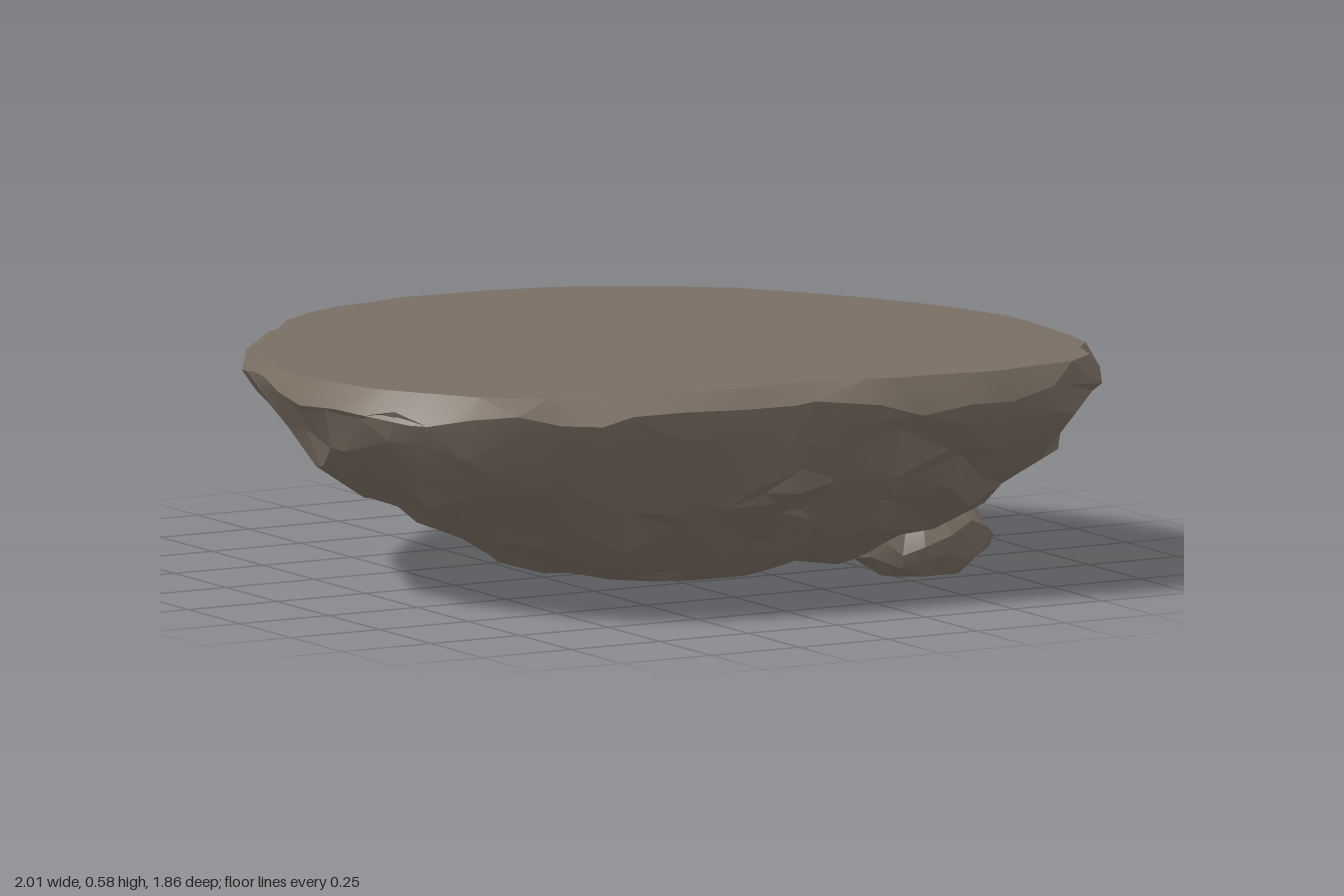
import * as THREE from 'three';
import { mergeVertices, toCreasedNormals } from 'three/addons/utils/BufferGeometryUtils.js';

// plan outline (x, z) at the widest level, from the back round by +x
const OUTLINE = [
  [0, -0.93], [0.17, -0.89], [0.35, -0.84], [0.5, -0.74], [0.65, -0.62], [0.8, -0.38],
  [0.9, -0.2], [0.97, 0], [1, 0.17], [0.98, 0.4], [0.95, 0.6], [0.89, 0.74], [0.81, 0.86],
  [0.7, 0.9], [0.5, 0.93], [0.35, 0.92], [0.05, 0.88], [-0.2, 0.88], [-0.45, 0.84],
  [-0.7, 0.77], [-0.83, 0.67], [-0.92, 0.52], [-1, 0.36], [-1, 0.04], [-0.95, -0.17],
  [-0.86, -0.4], [-0.6, -0.71], [-0.4, -0.85], [-0.15, -0.92],
];
// underside profile from the middle to the rim: scale of the outline, height
const PROFILE = [
  [0, 0.025], [0.15, 0.025], [0.31, 0.035], [0.45, 0.07], [0.58, 0.13],
  [0.7, 0.2], [0.82, 0.28], [0.91, 0.37], [0.97, 0.45], [1, 0.52],
];

const outline = new THREE.CatmullRomCurve3(
  OUTLINE.map(([x, z]) => new THREE.Vector3(x, 0, z)), true, 'centripetal');
const profile = new THREE.CatmullRomCurve3(
  PROFILE.map(([s, y]) => new THREE.Vector3(s, y, 0)));

function seeded(seed) {
  return () => {
    seed = (seed * 16807) % 2147483647;
    return (seed / 2147483647) * 2 - 1;
  };
}

// faceted ball with unevenly spread corners, each moved by the rule place(direction, rand)
function chippedStone(detail, seed, spread, place) {
  const rand = seeded(seed);
  const ball = new THREE.IcosahedronGeometry(1, detail);
  ball.deleteAttribute('normal');
  ball.deleteAttribute('uv');
  const geometry = mergeVertices(ball, 1e-3);
  const pos = geometry.attributes.position;
  const v = new THREE.Vector3();
  for (let i = 0; i < pos.count; i++) {
    v.fromBufferAttribute(pos, i);
    v.x += rand() * spread;
    v.y += rand() * spread;
    v.z += rand() * spread;
    place(v.normalize(), rand);
    pos.setXYZ(i, v.x, v.y, v.z);
  }
  return toCreasedNormals(geometry, 0.4);
}

// flat lid above, bowl-shaped underside below
function placeBody(v, rand) {
  const turn = Math.atan2(v.x, -v.z) / (2 * Math.PI);
  const elevation = Math.asin(v.y) / (Math.PI / 2);
  const p = outline.getPointAt((turn + 1) % 1);
  if (elevation > 0.045) {
    // wider bevel along the front right edge
    const bevel = 0.04 * THREE.MathUtils.smoothstep(p.z - p.x * 0.6, 0.6, 1);
    const s = (0.985 - bevel) * (1 - elevation ** 1.8);
    v.set(p.x * s, 0.567 + 0.01 * p.z * s, p.z * s);
    return;
  }
  const q = profile.getPointAt(Math.min(1, (1 + elevation) * 1.05));
  const rim = THREE.MathUtils.smoothstep(q.x, 0.9, 1);
  const s = q.x + rand() * THREE.MathUtils.lerp(0.022, 0.008, rim);
  const shift = 0.13 * (1 - q.x);
  const y = q.y + rand() * THREE.MathUtils.lerp(0.022, 0.02, rim);
  v.set(p.x * s + shift, Math.max(y, 0.006), p.z * s + shift * 0.7);
}

// squat boulder, flattened where it stands on the ground
function placeLobe(v, rand) {
  const r = 1 + rand() * 0.07;
  v.set(0.57 + v.x * r * 0.18, Math.max(0.1 + v.y * r * 0.115, 0), 0.4 + v.z * r * 0.18);
}

export function createModel() {
  const group = new THREE.Group();
  group.name = 'flatToppedRock';
  const stone = new THREE.MeshStandardMaterial({ color: 0x7a6e62 });
  const add = (name, geometry) => {
    const mesh = new THREE.Mesh(geometry, stone);
    mesh.name = name;
    group.add(mesh);
  };
  add('rockBody', chippedStone(8, 4217, 0.035, placeBody));
  add('lowerLobe', chippedStone(2, 977, 0.1, placeLobe));
  return group;
}
